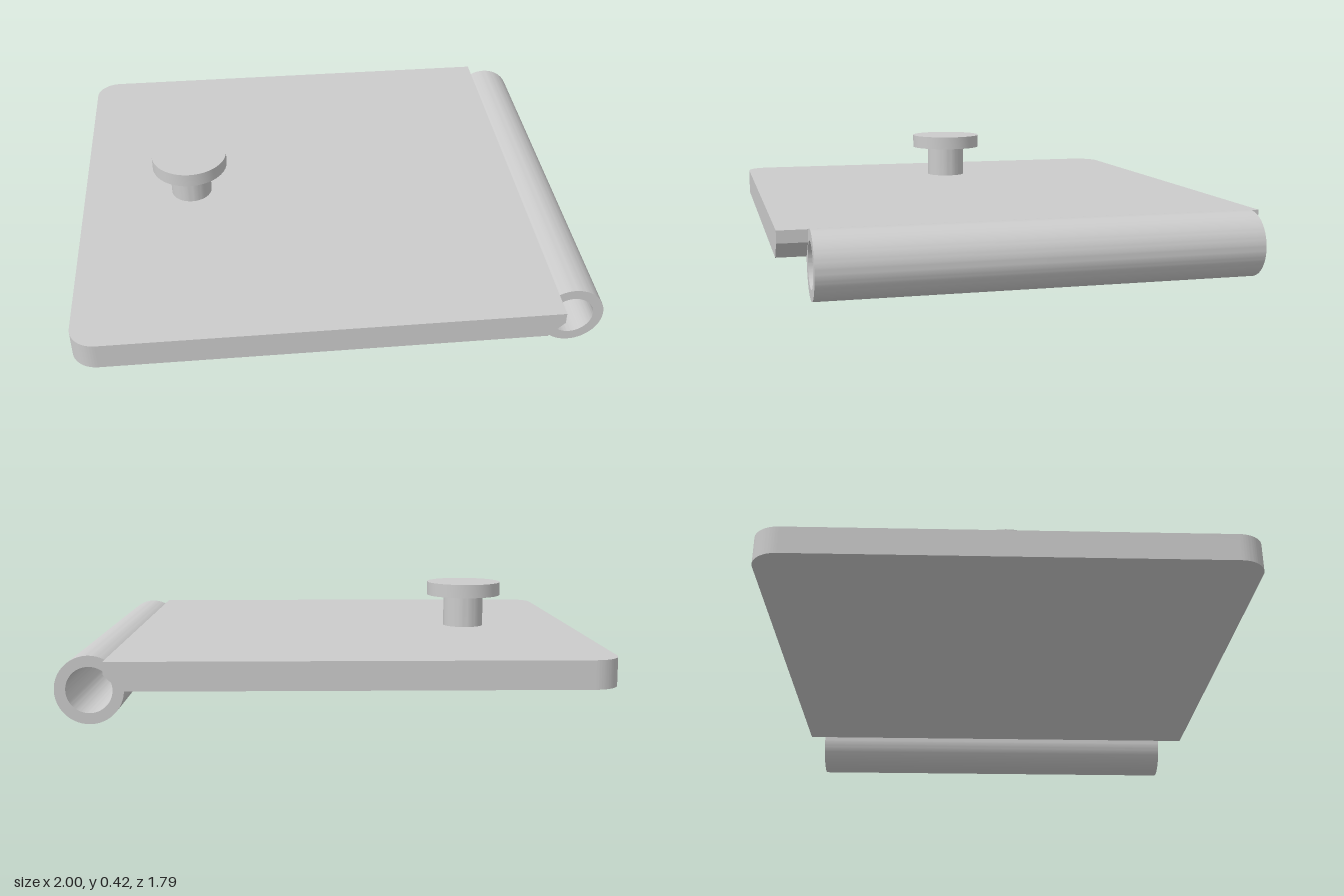
import * as THREE from 'three';
import { toCreasedNormals } from 'three/addons/utils/BufferGeometryUtils.js';

export function createModel() {
  const group = new THREE.Group();
  const material = new THREE.MeshStandardMaterial({ color: 0xcccccc });
  const add = (name, geometry, x, y, z) => {
    const mesh = new THREE.Mesh(toCreasedNormals(geometry, 0.6), material);
    mesh.name = name;
    mesh.position.set(x, y, z);
    group.add(mesh);
  };

  // Plate: two corners rounded, bevelled underneath along the hinge edge
  const w = 0.897, r = 0.1, endX = 0.815, thick = 0.105;
  const outline = new THREE.Shape();
  outline.moveTo(endX, -w);
  outline.lineTo(endX, w);
  outline.lineTo(-1 + r, w);
  outline.absarc(-1 + r, w - r, r, Math.PI / 2, Math.PI, false);
  outline.lineTo(-1, -w + r);
  outline.absarc(-1 + r, -w + r, r, Math.PI, Math.PI * 1.5, false);
  const plate = new THREE.ExtrudeGeometry(outline, { depth: thick, steps: 2, bevelEnabled: false, curveSegments: 16 });
  plate.rotateX(-Math.PI / 2);
  const p = plate.attributes.position;
  for (let i = 0; i < p.count; i++) {
    const y = p.getY(i);
    if (y < 0.01 && p.getX(i) > endX - 0.01) p.setX(i, endX - 0.06);
    else if (y > 0.01 && y < thick - 0.01) p.setY(i, 0.06);
  }
  add('plate', plate, 0, 0.13, 0);

  // Hinge barrel: a tube open at both ends
  const R = 0.123, length = 1.622;
  const ring = new THREE.Shape().absarc(0, 0, R, 0, Math.PI * 2, false);
  ring.holes.push(new THREE.Path().absarc(0, 0, 0.083, 0, Math.PI * 2, true));
  const barrel = new THREE.ExtrudeGeometry(ring, { depth: length, bevelEnabled: false, curveSegments: 48 });
  add('hingeBarrel', barrel, 1 - R, R, -0.832);

  // Knob: stem with a wider disc on top
  const knob = [[0, 0], [0.083, 0], [0.083, 0.135], [0.153, 0.135], [0.153, 0.19], [0, 0.19]];
  add('knob', new THREE.LatheGeometry(knob.map(([x, y]) => new THREE.Vector2(x, y)), 64), -0.555, 0.23, -0.004);

  return group;
}
